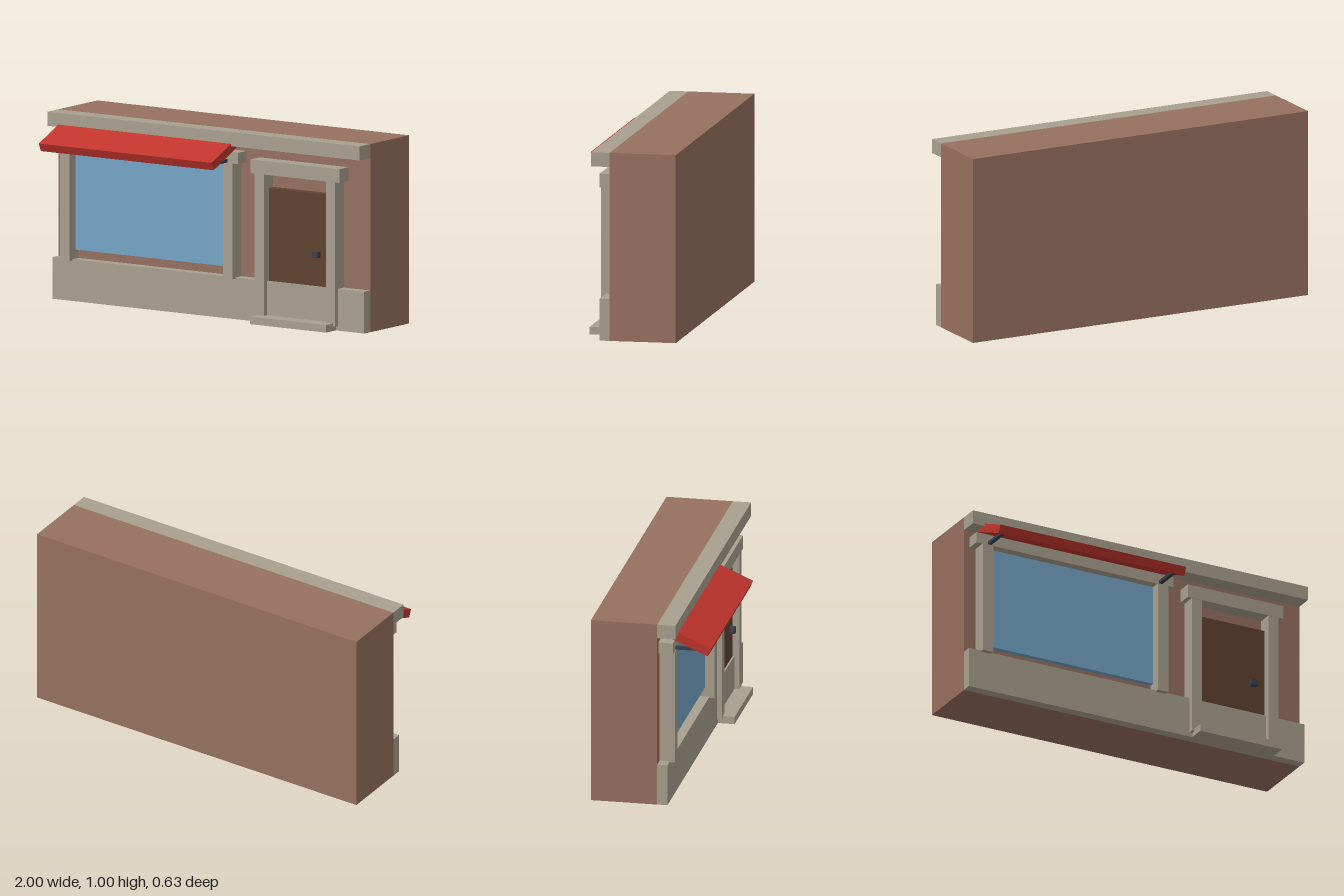
import * as THREE from 'three';

const mat = (color) => new THREE.MeshStandardMaterial({ color });

export function createModel() {
  const model = new THREE.Group();
  model.name = 'shopfront';

  const brick = mat(0x96705f), stone = mat(0xa89f8e), red = mat(0xc0342c);
  const glass = mat(0x74a5c6), wood = mat(0x5f4330), metal = mat(0x3a3f4d);

  // Box given by its extents along each axis
  function block(name, material, [x0, x1], [y0, y1], [z0, z1]) {
    const mesh = new THREE.Mesh(new THREE.BoxGeometry(x1 - x0, y1 - y0, z1 - z0), material);
    mesh.position.set((x0 + x1) / 2, (y0 + y1) / 2, (z0 + z1) / 2);
    mesh.name = name;
    model.add(mesh);
    return mesh;
  }

  // Main wall with stone bands along its face
  const wallZ = 0.04;
  block('wall', brick, [-1, 1], [0, 1], [-0.315, wallZ]);
  block('plinth', stone, [-1, 1], [0, 0.222], [wallZ, 0.095]);
  block('cornice', stone, [-1, 1], [0.925, 1], [wallZ, 0.138]);

  // Shop window with side posts and lintel
  block('windowPane', glass, [-0.872, 0.112], [0.27, 0.85], [wallZ, 0.07]);
  for (const x of [-0.932, 0.112]) {
    block('windowPost', stone, [x, x + 0.062], [0.215, 0.832], [wallZ, 0.122]);
  }
  block('windowLintel', stone, [-0.968, 0.206], [0.83, 0.89], [wallZ, 0.118]);

  // Door with posts, lintel, knob and step
  block('door', wood, [0.382, 0.768], [0.18, 0.715], [wallZ, 0.085]);
  block('doorKnob', metal, [0.678, 0.714], [0.376, 0.408], [0.08, 0.115]);
  for (const x of [0.316, 0.772]) {
    block('doorPost', stone, [x, x + 0.06], [0.024, 0.792], [wallZ, 0.121]);
  }
  block('doorLintel', stone, [0.29, 0.86], [0.791, 0.864], [wallZ, 0.123]);
  block('doorStep', stone, [0.332, 0.818], [0, 0.04], [wallZ, 0.185]);

  // Sloping awning, its outer end at the origin before it is turned
  const length = 0.285, thickness = 0.046;
  const slab = new THREE.BoxGeometry(1.108, thickness, length);
  slab.translate(0, 0, -length / 2);
  const awning = new THREE.Mesh(slab, red);
  awning.name = 'awning';
  awning.position.set(-0.378, 0.839, 0.3065);
  awning.rotation.x = THREE.MathUtils.degToRad(23.6);
  model.add(awning);

  // Support arms under the awning
  for (const x of [-0.89, 0.13]) {
    block('awningArm', metal, [x - 0.01, x + 0.01], [0.833, 0.85], [wallZ, 0.265]);
  }
  return model;
}
